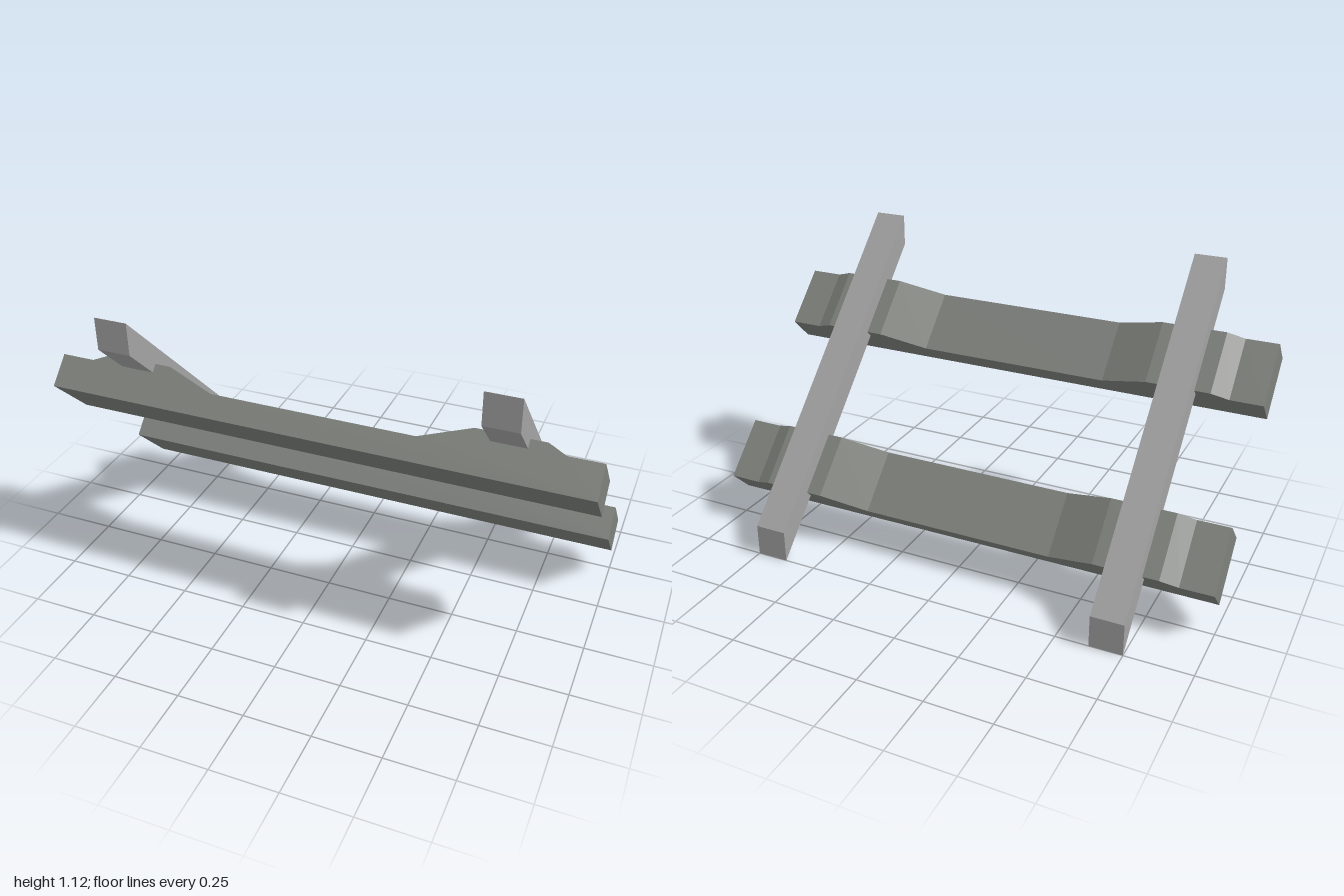
import * as THREE from 'three';

// Sloping track section: two wooden ties under two square rails, rising 45 degrees toward +z
export function createModel() {
  const group = new THREE.Group();
  const tieGrey = new THREE.MeshStandardMaterial({ color: 0x7d807b });
  tieGrey.name = 'tie grey';
  const railGrey = new THREE.MeshStandardMaterial({ color: 0xa2a2a2 });
  railGrey.name = 'rail grey';

  // Tie profile: dipped middle, raised rail seats, lower ends
  const half = [[0.38, 0.089], [0.565, 0.156], [0.81, 0.156], [0.875, 0.125], [1, 0.125], [1, 0]];
  const mirrored = half.map(([x, y]) => [-x, y]).reverse();
  const profile = new THREE.Shape([...mirrored, ...half].map(([x, y]) => new THREE.Vector2(x, y)));
  const tieGeometry = new THREE.ExtrudeGeometry(profile, { depth: 0.248, bevelEnabled: false });

  // Each tie is tilted so its seats lie along the slope
  [['upperTie', 0.28, 0.607], ['lowerTie', -0.221, 0.107]].forEach(([name, z, y]) => {
    const tie = new THREE.Mesh(tieGeometry, tieGrey);
    tie.name = name;
    tie.rotation.x = -Math.PI / 4;
    tie.position.set(0, y, z);
    group.add(tie);
  });

  // Rails are boxes sheared along the slope, keeping their ends vertical
  const railGeometry = new THREE.BoxGeometry(0.125, 0.123, 1);
  railGeometry.applyMatrix4(new THREE.Matrix4().set(
    1, 0, 0, 0,
    0, 1, 1, 0.5625,
    0, 0, 1, 0,
    0, 0, 0, 1));
  railGeometry.computeVertexNormals();
  for (const side of [-1, 1]) {
    const rail = new THREE.Mesh(railGeometry, railGrey);
    rail.name = side > 0 ? 'leftRail' : 'rightRail';
    rail.position.x = side * 0.6875;
    group.add(rail);
  }
  return group;
}
